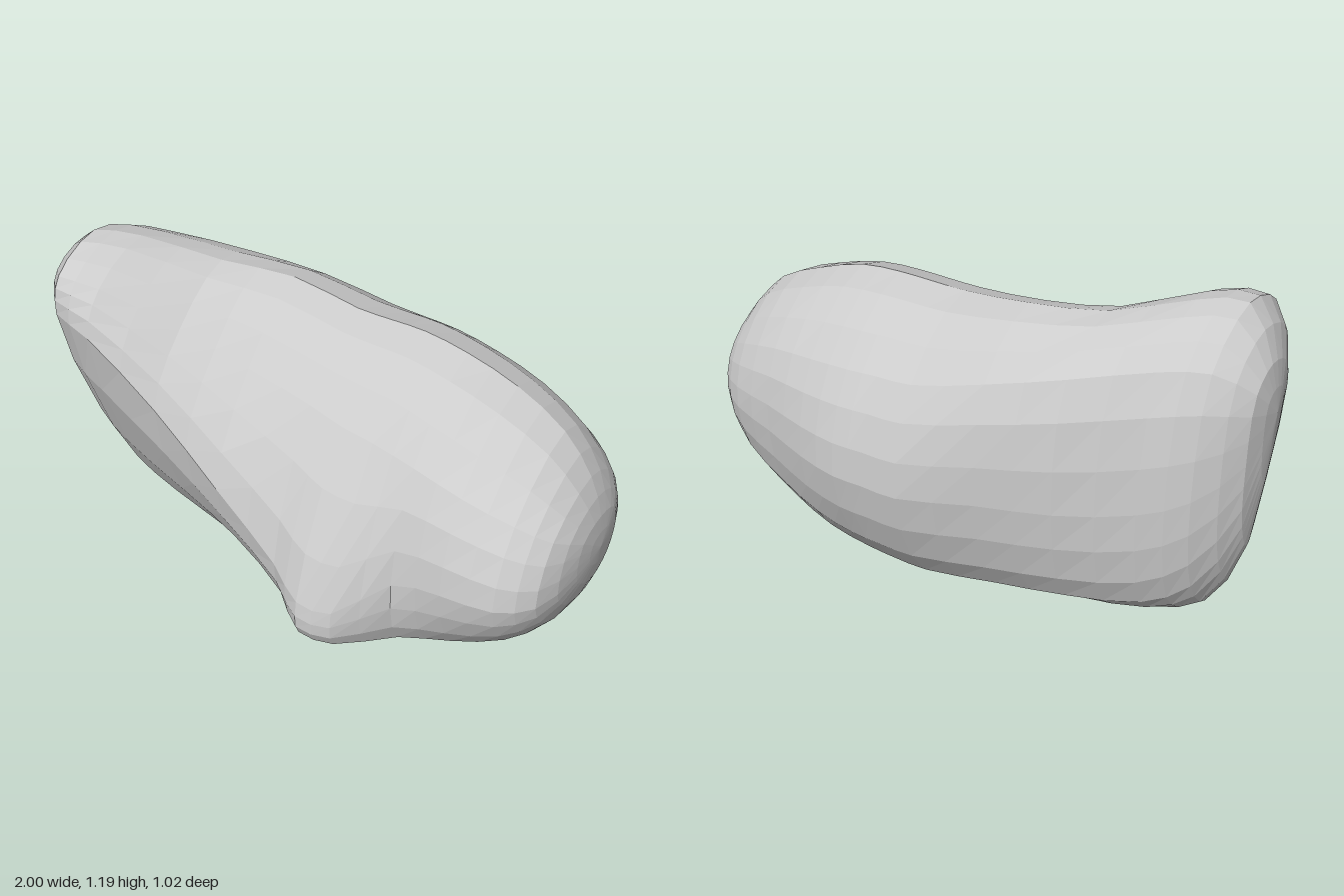
import * as THREE from 'three';

// Lengthwise stations shared by all the rails
const X = [-0.97, -0.85, -0.7, -0.45, -0.2, 0.05, 0.18, 0.3, 0.46, 0.64, 0.82, 0.93, 0.985];
const LEFT_TIP = new THREE.Vector3(-1, 0.88, 0.05);
const RIGHT_TIP = new THREE.Vector3(1, 0.55, -0.01);

// Smooth curve from tip to tip, given its z and y at every station
function rail(zs, ys) {
  const points = X.map((x, i) => new THREE.Vector3(x, ys[i], zs[i]));
  return new THREE.CatmullRomCurve3([LEFT_TIP, ...points, RIGHT_TIP]);
}

const top = rail(
  [0.05, 0.12, 0.06, -0.04, -0.1, -0.09, -0.09, -0.09, -0.08, -0.08, -0.06, -0.04, -0.02],
  [1.04, 1.185, 1.18, 1.115, 1.1, 1.07, 1.07, 1.07, 1.05, 0.99, 0.9, 0.78, 0.66]);
const frontUpper = rail(
  [0.15, 0.32, 0.3, 0.21, 0.18, 0.2, 0.22, 0.23, 0.25, 0.27, 0.26, 0.21, 0.1],
  [1.01, 1.11, 1.1, 0.98, 0.9, 0.86, 0.84, 0.83, 0.81, 0.78, 0.74, 0.69, 0.63]);
// Diagonal ridge running down into the front bump
const ridge = rail(
  [0.18, 0.35, 0.38, 0.37, 0.39, 0.43, 0.5, 0.48, 0.375, 0.385, 0.375, 0.3, 0.13],
  [0.91, 0.98, 0.95, 0.75, 0.54, 0.36, 0.31, 0.3, 0.42, 0.47, 0.48, 0.49, 0.52]);
const frontLower = rail(
  [0.02, 0.06, 0.09, 0.15, 0.22, 0.35, 0.485, 0.465, 0.32, 0.29, 0.27, 0.21, 0.09],
  [0.49, 0.27, 0.2, 0.18, 0.17, 0.15, 0.165, 0.155, 0.15, 0.2, 0.28, 0.36, 0.46]);
const bottom = rail(
  [-0.03, -0.05, -0.05, -0.02, 0.01, 0.04, 0.05, 0.04, 0.02, 0, -0.01, -0.01, -0.01],
  [0.42, 0.17, 0.11, 0.085, 0.06, 0.005, 0.015, 0.025, 0.045, 0.105, 0.2, 0.3, 0.42]);
const backLower = rail(
  [-0.08, -0.17, -0.22, -0.27, -0.3, -0.34, -0.34, -0.33, -0.32, -0.29, -0.25, -0.2, -0.11],
  [0.52, 0.3, 0.21, 0.17, 0.14, 0.12, 0.12, 0.12, 0.14, 0.19, 0.27, 0.36, 0.46]);
const back = rail(
  [-0.09, -0.21, -0.28, -0.37, -0.43, -0.505, -0.505, -0.505, -0.465, -0.405, -0.35, -0.27, -0.15],
  [0.75, 0.64, 0.58, 0.54, 0.52, 0.5, 0.5, 0.5, 0.5, 0.51, 0.52, 0.53, 0.55]);
const backUpper = rail(
  [-0.05, -0.12, -0.18, -0.29, -0.36, -0.4, -0.4, -0.4, -0.38, -0.345, -0.29, -0.22, -0.12],
  [0.98, 1.05, 1.04, 0.99, 0.93, 0.87, 0.86, 0.85, 0.83, 0.8, 0.74, 0.68, 0.63]);

// Skins closed rings drawn through the rails, closing on a point at each end
function loft(rails, rows, columns) {
  const positions = [], index = [];
  for (let i = 0; i <= rows; i++) {
    const corners = rails.map((r) => r.getPoint(i / rows));
    const atTip = i === 0 || i === rows;
    const ring = atTip ? null : new THREE.CatmullRomCurve3(corners, true);
    for (let j = 0; j < columns; j++) {
      const p = atTip ? corners[0] : ring.getPoint(j / columns);
      positions.push(p.x, Math.max(p.y, 0), p.z);
    }
  }
  for (let i = 0; i < rows; i++) {
    for (let j = 0; j < columns; j++) {
      const next = (j + 1) % columns;
      const a = i * columns + j, b = i * columns + next;
      const c = a + columns, d = b + columns;
      if (i > 0) index.push(a, b, c);
      if (i < rows - 1) index.push(b, d, c);
    }
  }
  const geometry = new THREE.BufferGeometry();
  geometry.setAttribute('position', new THREE.Float32BufferAttribute(positions, 3));
  geometry.setIndex(index);
  geometry.computeVertexNormals();
  return geometry;
}

export function createModel() {
  const group = new THREE.Group();
  group.name = 'rock';
  const rails = [top, frontUpper, ridge, frontLower, bottom, backLower, back, backUpper];
  const material = new THREE.MeshStandardMaterial({ color: 0xcccccc, flatShading: true });
  const boulder = new THREE.Mesh(loft(rails, 2 * (X.length + 1), 3 * rails.length), material);
  boulder.name = 'boulder';
  group.add(boulder);
  return group;
}
